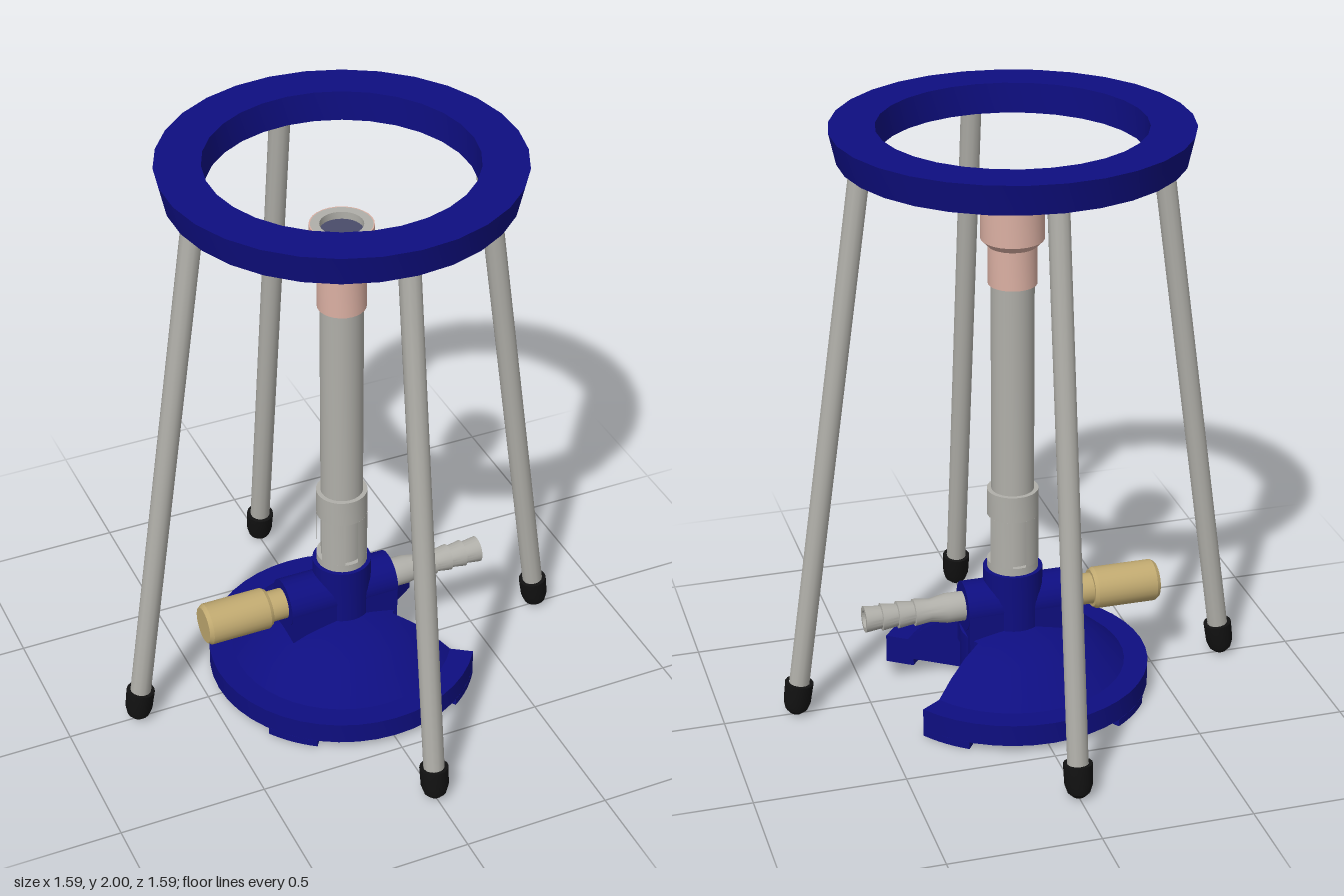
import * as THREE from 'three';
import { toCreasedNormals } from 'three/addons/utils/BufferGeometryUtils.js';

const material = (name, color, side = THREE.FrontSide) => {
  const m = new THREE.MeshStandardMaterial({ color, side });
  m.name = name;
  return m;
};

export function createModel() {
  const model = new THREE.Group();
  const blue = material('blue enamel', 0x0e0e80, THREE.DoubleSide);
  const steel = material('steel', 0xb0afa9);
  const copper = material('pink copper', 0xdbb0a3);
  const brass = material('brass', 0xc0a970);
  const rubber = material('black rubber', 0x121212);
  const slate = material('slate screen', 0x4a4c6a);

  const add = (name, geometry, mat, parent = model) => {
    const mesh = new THREE.Mesh(geometry, mat);
    mesh.name = name;
    parent.add(mesh);
    return mesh;
  };
  // Turned part from [radius, height] points, listed counter-clockwise
  const turned = (points, sides = 32, start = 0, length = Math.PI * 2) =>
    toCreasedNormals(new THREE.LatheGeometry(
      points.map(([r, y]) => new THREE.Vector2(r, y)), sides, start, length), 0.5);
  const rad = THREE.MathUtils.degToRad;

  // Support ring
  add('supportRing', turned([[0.425, 1.9], [0.555, 1.9], [0.577, 2], [0.43, 2], [0.425, 1.9]], 30), blue);

  // Four splayed legs with rubber tips
  const tilt = Math.atan2(0.26, 1.85);
  for (let i = 0; i < 4; i++) {
    const side = new THREE.Group();
    side.name = 'leg' + (i + 1);
    side.rotation.y = i * Math.PI / 2;
    const leg = new THREE.Group();
    leg.name = 'legAssembly';
    leg.position.set(0.758, 0.002, 0);
    leg.rotation.z = tilt;
    add('legRod', toCreasedNormals(new THREE.CylinderGeometry(0.035, 0.035, 1.86, 12), 0.6), steel, leg)
      .position.y = 0.99;
    add('legTip', turned([[0, 0], [0.02, 0.004], [0.037, 0.02], [0.046, 0.048], [0.048, 0.118], [0.035, 0.118]], 16),
      rubber, leg);
    side.add(leg);
    model.add(side);
  }

  // Domed base with a wedge cut out towards +x
  const cut = rad(34);
  const profile = [[0, 0.025], [0.46, 0.025], [0.46, 0.1], [0.38, 0.1], [0.32, 0.152],
    [0.25, 0.198], [0.18, 0.228], [0.1, 0.25], [0, 0.255]];
  add('base', turned(profile, 36, Math.PI / 2 + cut, Math.PI * 2 - 2 * cut), blue);
  const section = new THREE.ShapeGeometry(new THREE.Shape(profile.map(([r, y]) => new THREE.Vector2(r, y))));
  for (const s of [-1, 1]) add('baseCutFace', section, blue).rotation.y = s * cut;
  add('baseCore', turned([[0, 0.025], [0.18, 0.025], [0.18, 0.228], [0.1, 0.25], [0, 0.255]], 12,
    Math.PI / 2 - cut, 2 * cut), blue);

  // Four pads under the base rim
  for (let i = 0; i < 4; i++) {
    const pad = new THREE.Shape();
    const a = Math.PI / 4 + i * Math.PI / 2, h = rad(11);
    pad.absarc(0, 0, 0.46, a - h, a + h, false);
    pad.absarc(0, 0, 0.36, a + h, a - h, true);
    const g = new THREE.ExtrudeGeometry(pad, { depth: 0.026, bevelEnabled: false, curveSegments: 6 });
    add('basePad', g.rotateX(-Math.PI / 2), blue);
  }

  // Valve body: upright socket, crossed by a horizontal barrel
  add('socket', turned([[0.1, 0.1], [0.1, 0.453], [0, 0.453]], 28), blue);
  const sideways = (name, points, mat, sides = 24) => {
    const mesh = add(name, turned(points, sides), mat);
    mesh.rotation.z = -Math.PI / 2;
    mesh.position.y = 0.322;
    return mesh;
  };
  sideways('valveBody', [[0, -0.218], [0.084, -0.218], [0.084, 0.174], [0, 0.174]], blue);
  add('valveBlock', new THREE.BoxGeometry(0.388, 0.17, 0.166), blue).position.set(-0.022, 0.237, 0);

  // Brass needle valve knob
  sideways('valveKnob', [[0, -0.508], [0.062, -0.508], [0.071, -0.495], [0.071, -0.288], [0.064, -0.276],
    [0.053, -0.276], [0.053, -0.216]], brass);

  // Hollow hose barb
  sideways('hoseBarb', [[0.05, 0.172], [0.05, 0.235], [0.039, 0.29], [0.046, 0.345], [0.038, 0.347],
    [0.046, 0.402], [0.038, 0.404], [0.046, 0.457], [0.038, 0.459], [0.045, 0.515], [0.03, 0.515],
    [0.03, 0.3], [0, 0.3]].map(([r, x]) => [r, x]), steel);

  // Barrel and slotted air sleeve
  add('barrel', turned([[0.071, 0.45], [0.071, 1.48]], 28), steel);
  const band = (y0, y1) => [[0.071, y0], [0.086, y0], [0.086, y1], [0.071, y1]];
  add('sleeveTop', turned(band(0.65, 0.742), 32), steel);
  add('sleeveBottom', turned(band(0.452, 0.48), 32), steel);
  for (let i = 0; i < 4; i++) {
    add('sleeveWall', turned(band(0.48, 0.65), 8, i * Math.PI / 2 + rad(15), rad(60)), steel);
  }

  // Flared burner head with a screened mouth
  add('burnerHead', turned([[0.07, 1.47], [0.08, 1.47], [0.08, 1.6], [0.103, 1.623], [0.103, 1.77], [0.099, 1.77]], 28),
    copper);
  add('headRim', turned([[0.099, 1.77], [0.07, 1.77], [0.07, 1.74]], 28), steel);
  add('mouthScreen', new THREE.CircleGeometry(0.071, 28).rotateX(-Math.PI / 2), slate).position.y = 1.745;

  return model;
}
